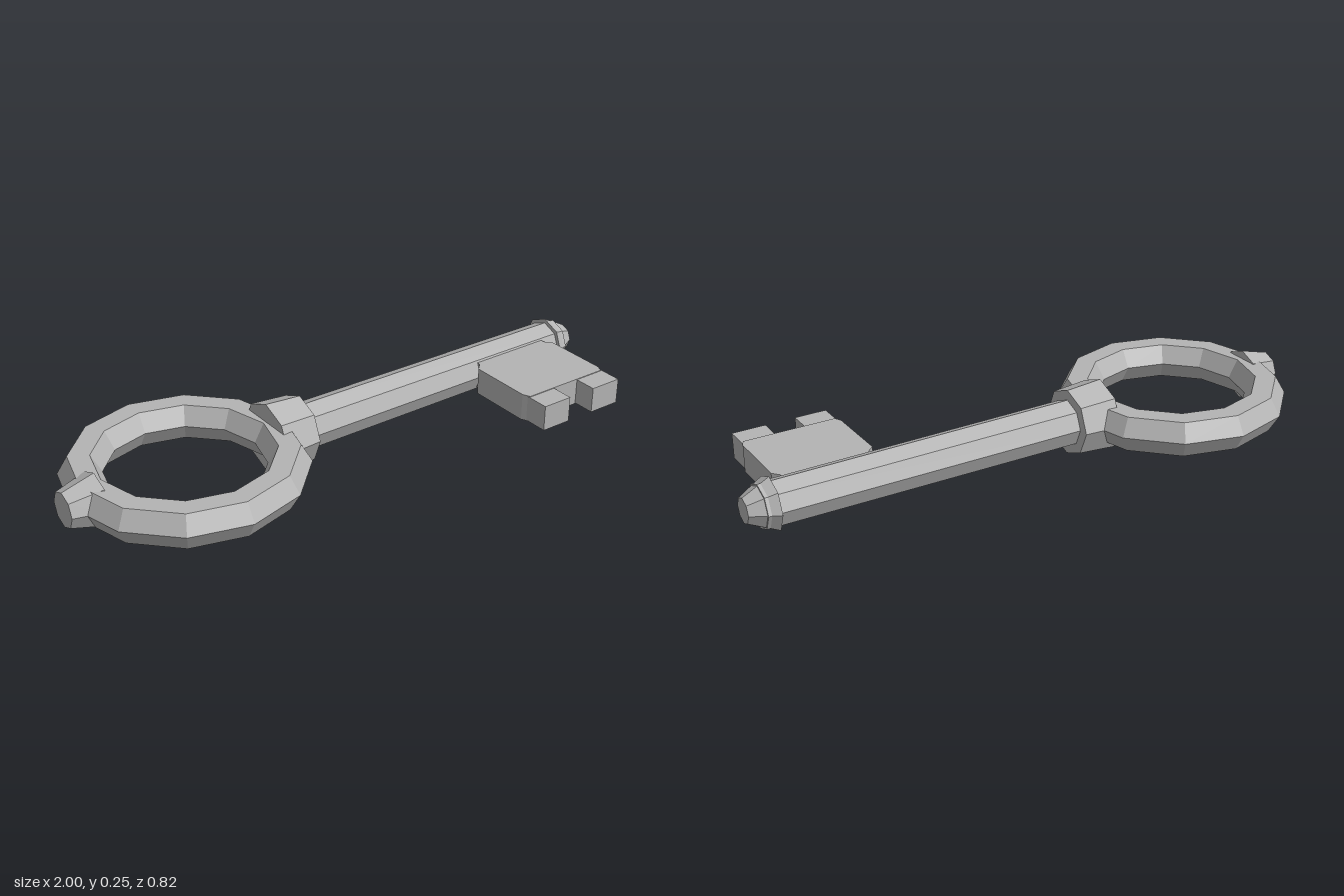
import * as THREE from 'three';

export function createModel() {
  const key = new THREE.Group();
  key.name = 'key';
  const steel = new THREE.MeshStandardMaterial({ color: 0xb4b4b4, flatShading: true });
  steel.name = 'grey steel';
  const AXIS_Y = 0.125, AXIS_Z = -0.014;

  const add = (name, geometry, x, y, z) => {
    const mesh = new THREE.Mesh(geometry, steel);
    mesh.name = name;
    mesh.position.set(x, y, z);
    key.add(mesh);
  };

  // Eight-sided bar along x, tapering from radius r0 at x0 to r1 at x1
  const bar = (name, x0, r0, x1, r1) => {
    const geometry = new THREE.CylinderGeometry(r1, r0, x1 - x0, 8).rotateZ(-Math.PI / 2);
    add(name, geometry, (x0 + x1) / 2, AXIS_Y, AXIS_Z);
  };

  // Flat plate lying in the xz plane, from [x, z] corners
  const plate = (name, corners, height) => {
    const shape = new THREE.Shape(corners.map(([x, z]) => new THREE.Vector2(x, z)));
    const geometry = new THREE.ExtrudeGeometry(shape, { depth: height, bevelEnabled: false });
    add(name, geometry.rotateX(Math.PI / 2), 0, AXIS_Y + height / 2, 0);
  };

  // Handle ring with a hexagonal section
  add('ringHandle', new THREE.TorusGeometry(0.325, 0.07, 6, 12).rotateX(Math.PI / 2), -0.58, AXIS_Y, AXIS_Z);

  // Parts along the axis
  bar('endKnob', -1, 0.06, -0.89, 0.09);
  bar('collar', -0.28, 0.125, -0.15, 0.115);
  bar('shaft', -0.2, 0.08, 0.95, 0.075);
  bar('tip', 0.91, 0.09, 1, 0.043);

  // Bit with clipped corners, and its two teeth
  plate('bit', [
    [0.55, 0], [0.845, 0], [0.845, 0.055], [0.866, 0.08], [0.866, 0.305], [0.855, 0.33],
    [0.535, 0.33], [0.523, 0.305], [0.523, 0.08], [0.55, 0.055],
  ], 0.094);
  for (const [name, x0, x1] of [['leftTooth', 0.745, 0.861], ['rightTooth', 0.531, 0.641]]) {
    plate(name, [[x0, 0.305], [x1, 0.305], [x1, 0.408], [x0, 0.408]], 0.089);
  }

  return key;
}
